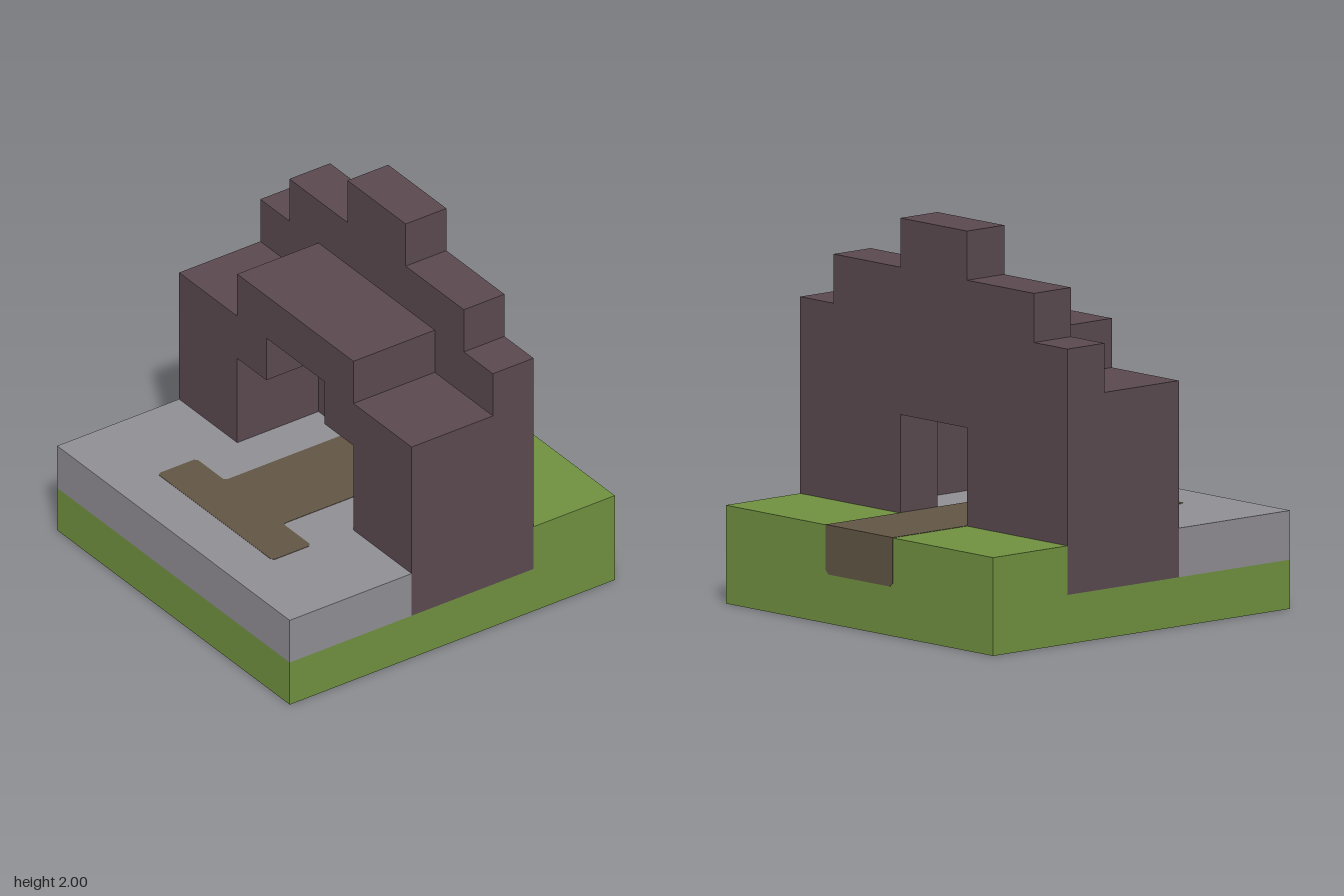
import * as THREE from 'three';

export function createModel() {
  const group = new THREE.Group();
  const mat = (name, color) => {
    const m = new THREE.MeshStandardMaterial({ color });
    m.name = name;
    return m;
  };
  const grass = mat('grass green', 0x719240);
  const stone = mat('stone grey', 0x918f95);
  const brick = mat('dark brick', 0x5b4a50);
  const dirt = mat('dirt brown', 0x625645);

  const add = (name, geometry, material) => {
    const mesh = new THREE.Mesh(geometry, material);
    mesh.name = name;
    group.add(mesh);
    return mesh;
  };

  // Box given by its lowest and highest corners
  const box = (name, material, [x0, y0, z0], [x1, y1, z1]) =>
    add(name, new THREE.BoxGeometry(x1 - x0, y1 - y0, z1 - z0), material)
      .position.set((x0 + x1) / 2, (y0 + y1) / 2, (z0 + z1) / 2);

  // Symmetric outline from its +x half, extruded along z
  const mirrored = (half, depth) => {
    const left = half.map(([x, y]) => [-x, y]).reverse();
    const shape = new THREE.Shape([...half, ...left].map(([x, y]) => new THREE.Vector2(x, y)));
    return new THREE.ExtrudeGeometry(shape, { depth, bevelEnabled: false });
  };

  // Ground: lower slab, raised lawn behind, paving in front and under the arch
  box('lowerGround', grass, [-1, 0, -1], [1, 0.25, 1]);
  box('backLawn', grass, [-1, 0.25, -1], [1, 0.5, -0.5]);
  box('frontPaving', stone, [-1, 0.25, 0.25], [1, 0.5, 1]);
  box('archFloor', stone, [-0.5, 0.25, -0.25], [0.5, 0.5, 0.25]);
  box('threshold', dirt, [-0.25, 0.25, -0.5], [0.25, 0.5, -0.25]);

  // Stepped gable wall with a doorway
  add('gableWall', mirrored([
    [0.25, 1], [0.25, 0.25], [1, 0.25], [1, 1.5],
    [0.75, 1.5], [0.75, 1.75], [0.25, 1.75], [0.25, 2],
  ], 0.25), brick).position.z = -0.5;

  // Porch with a stepped arch
  add('porch', mirrored([
    [0.25, 1.25], [0.25, 1], [0.5, 1], [0.5, 0.25],
    [1, 0.25], [1, 1.25], [0.5, 1.25], [0.5, 1.5],
  ], 0.5), brick).position.z = -0.25;

  // T-shaped path with softened corners, laid flat on the ground
  const path = add('path', mirrored([
    [0.25, 1], [0.25, -0.49], [0.26, -0.505], [0.48, -0.505], [0.495, -0.52],
    [0.495, -0.73], [0.48, -0.745],
  ].reverse(), 0.004), dirt);
  path.rotation.x = -Math.PI / 2;
  path.position.y = 0.498;

  // Path end showing on the back face
  add('pathEnd', mirrored([
    [0.23, 0.25], [0.25, 0.27], [0.25, 0.502],
  ], 0.004), dirt).position.z = -1.002;

  return group;
}
